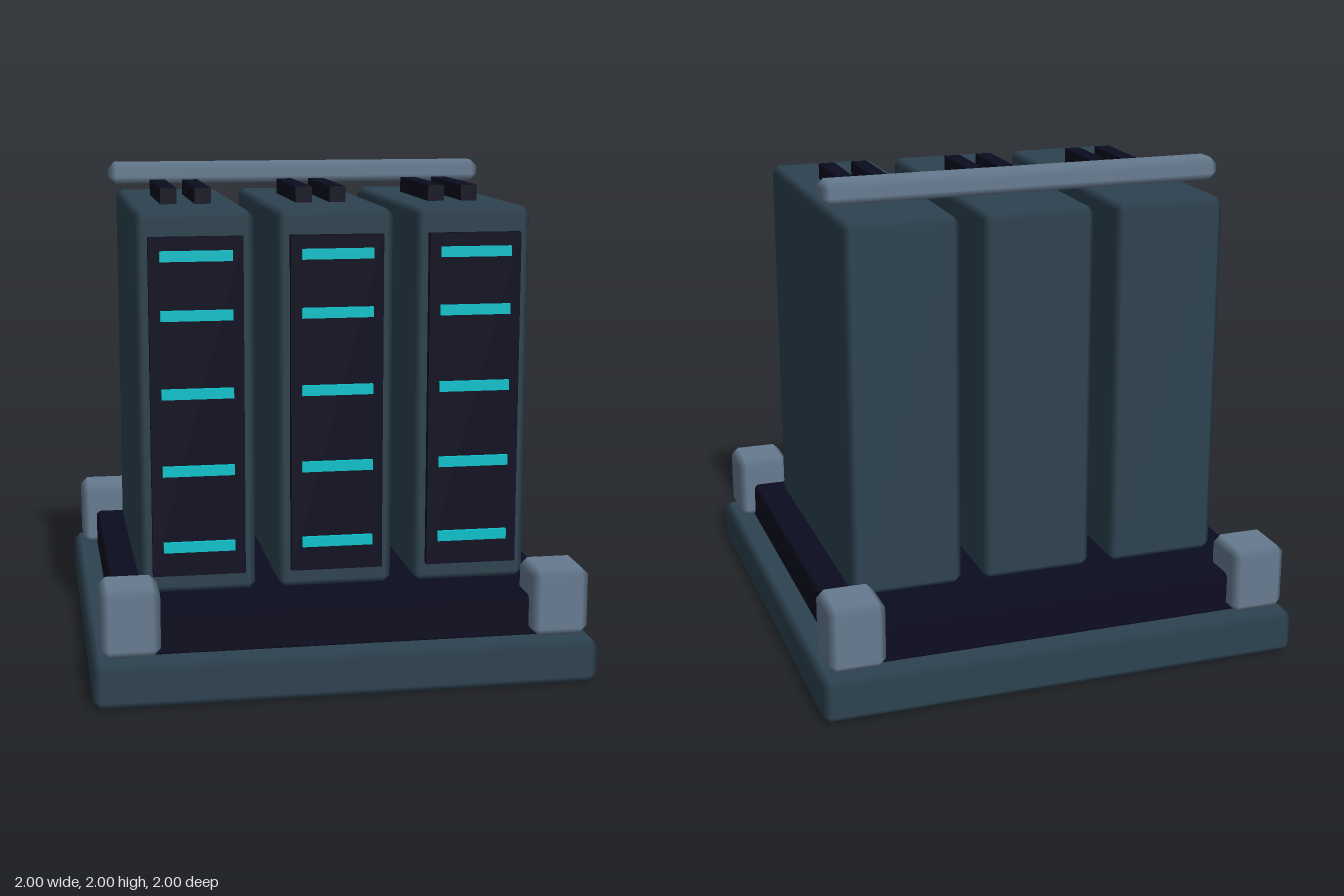
import * as THREE from 'three';
import { ConvexGeometry } from 'three/addons/geometries/ConvexGeometry.js';

const material = (name, color) => {
  const m = new THREE.MeshStandardMaterial({ color });
  m.name = name;
  return m;
};

// Box with a single chamfer of width r, shaded softly across the bevel
function chamferBox(w, h, d, r) {
  const half = [w / 2, h / 2, d / 2];
  const points = [];
  for (const sx of [-1, 1]) for (const sy of [-1, 1]) for (const sz of [-1, 1]) {
    const s = [sx, sy, sz];
    for (let axis = 0; axis < 3; axis++) {
      points.push(new THREE.Vector3(...half.map((v, i) => s[i] * (i === axis ? v : v - r))));
    }
  }
  const geo = new ConvexGeometry(points);
  const pos = geo.attributes.position;
  const normal = geo.attributes.normal;
  // Every corner belongs to one main face and takes that face's normal
  for (let i = 0; i < pos.count; i++) {
    const p = [pos.getX(i), pos.getY(i), pos.getZ(i)];
    const n = p.map((v, k) => (Math.abs(v) > half[k] - r / 2 ? Math.sign(v) : 0));
    normal.setXYZ(i, ...n);
  }
  return geo;
}

export function createModel() {
  const slate = material('slate', 0x2d4250);
  const dark = material('dark navy', 0x0c0c20);
  const steel = material('steel', 0x667b90);
  const cyan = material('cyan light', 0x0cc2cc);

  const model = new THREE.Group();
  model.name = 'serverBank';

  const add = (parent, name, geo, mat, x, y, z) => {
    const mesh = new THREE.Mesh(geo, mat);
    mesh.name = name;
    mesh.position.set(x, y, z);
    parent.add(mesh);
  };

  // Plinth and deck
  add(model, 'base', chamferBox(2, 0.18, 2, 0.03), slate, 0, 0.09, 0);
  add(model, 'deck', chamferBox(1.8, 0.17, 1.8, 0.015), dark, 0, 0.26, 0);

  // Corner posts
  const postGeo = chamferBox(0.23, 0.275, 0.23, 0.03);
  for (const x of [-0.85, 0.85]) for (const z of [-0.85, 0.85]) {
    add(model, 'cornerPost', postGeo, steel, x, 0.327, z);
  }

  // Three towers with front panel, light strips and roof vents
  const towerGeo = chamferBox(0.46, 1.522, 1.265, 0.025);
  const panelGeo = new THREE.BoxGeometry(0.37, 1.348, 0.06);
  const lightGeo = new THREE.BoxGeometry(0.284, 0.041, 0.025);
  const ventGeo = new THREE.BoxGeometry(0.067, 0.083, 0.54);
  for (const x of [-0.555, 0, 0.555]) {
    const tower = new THREE.Group();
    tower.name = 'tower';
    tower.position.x = x;
    model.add(tower);
    add(tower, 'cabinet', towerGeo, slate, 0, 1.106, 0);
    add(tower, 'frontPanel', panelGeo, dark, 0, 1.097, 0.633);
    for (const y of [0.543, 0.851, 1.159, 1.467, 1.698]) {
      add(tower, 'lightStrip', lightGeo, cyan, 0, y, 0.667);
    }
    for (const dx of [-0.07, 0.07]) add(tower, 'roofVent', ventGeo, dark, dx, 1.89, 0);
  }

  // Rail above the towers
  add(model, 'topRail', chamferBox(1.655, 0.092, 0.138, 0.029), steel, 0, 1.954, -0.423);

  return model;
}
